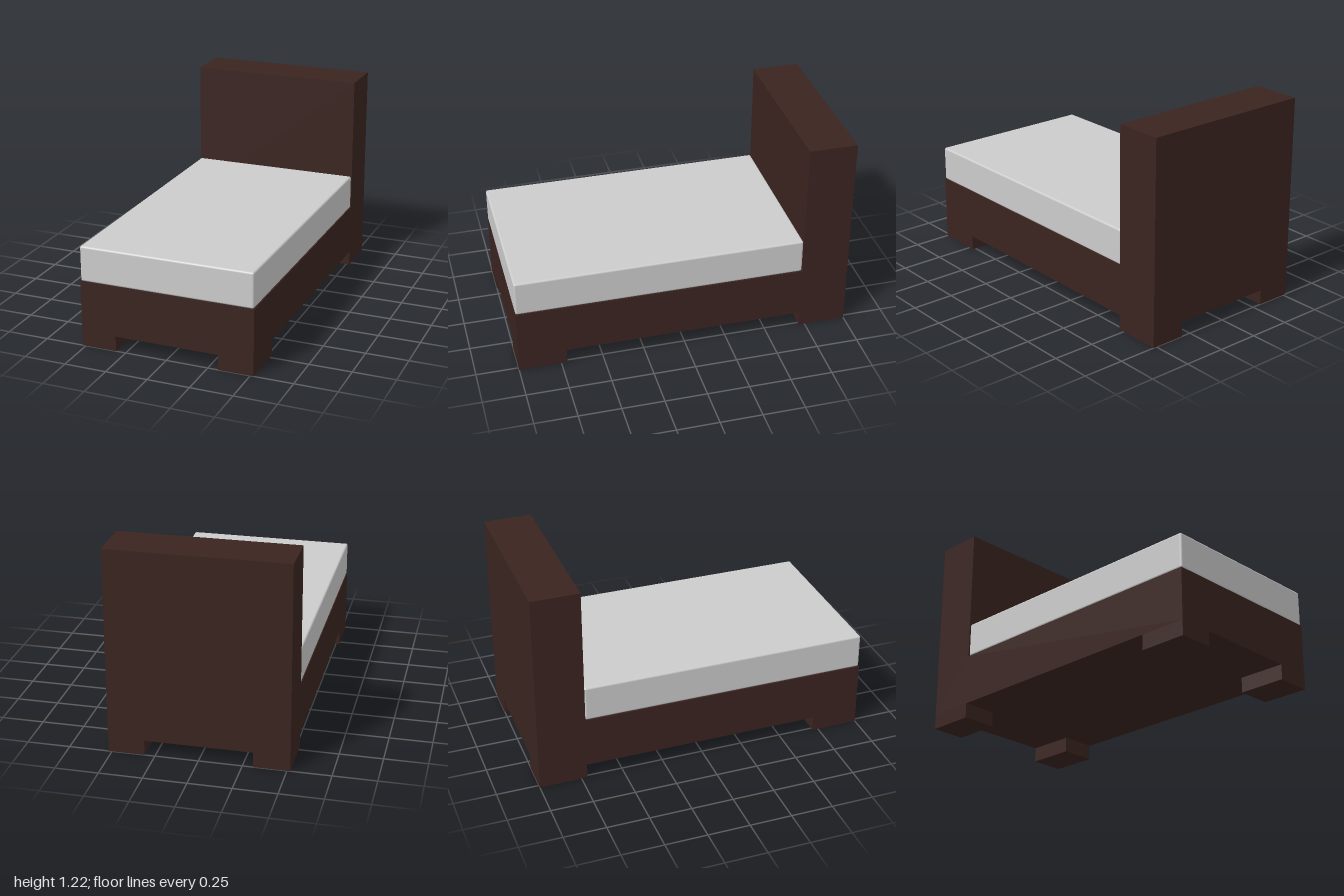
import * as THREE from 'three';
import { RoundedBoxGeometry } from 'three/addons/geometries/RoundedBoxGeometry.js';

const W = 1.04, HALF = W / 2;
const LEG_H = 0.09, LEG_W = 0.21, DEPTH = 0.285;
const BASE_TOP = 0.395, HEAD_TOP = 1.215, MATTRESS_TOP = 0.605;

export function createModel() {
  const bed = new THREE.Group();
  bed.name = 'bed';
  const wood = new THREE.MeshStandardMaterial({ color: 0x3a2420 });
  const fabric = new THREE.MeshStandardMaterial({ color: 0xcccccc });

  const add = (name, geometry, material, x, y, z) => {
    const mesh = new THREE.Mesh(geometry, material);
    mesh.name = name;
    mesh.position.set(x, y, z);
    bed.add(mesh);
  };

  // Base and headboard as one L-shaped side profile, extruded across the width
  const profile = new THREE.Shape([
    [-1, LEG_H], [1, LEG_H], [1, HEAD_TOP], [1 - DEPTH, HEAD_TOP],
    [1 - DEPTH, BASE_TOP], [-1, BASE_TOP],
  ].map(([x, y]) => new THREE.Vector2(x, y)));
  const frame = new THREE.ExtrudeGeometry(profile, { depth: W, bevelEnabled: false });
  frame.translate(0, 0, -HALF).rotateY(Math.PI / 2);
  add('frame', frame, wood, 0, 0, 0);

  // Four block legs flush with the corners
  for (const sx of [-1, 1]) {
    for (const sz of [-1, 1]) {
      add(`${sz > 0 ? 'front' : 'back'}${sx > 0 ? 'Left' : 'Right'}Leg`,
        new THREE.BoxGeometry(LEG_W, LEG_H, DEPTH), wood,
        sx * (HALF - LEG_W / 2), LEG_H / 2, sz * (1 - DEPTH / 2));
    }
  }

  // Mattress with softly rounded edges
  const length = 2 - DEPTH, height = MATTRESS_TOP - BASE_TOP;
  add('mattress', new RoundedBoxGeometry(W - 0.004, height, length - 0.002, 4, 0.012), fabric,
    0, BASE_TOP + height / 2, DEPTH / 2);

  return bed;
}
